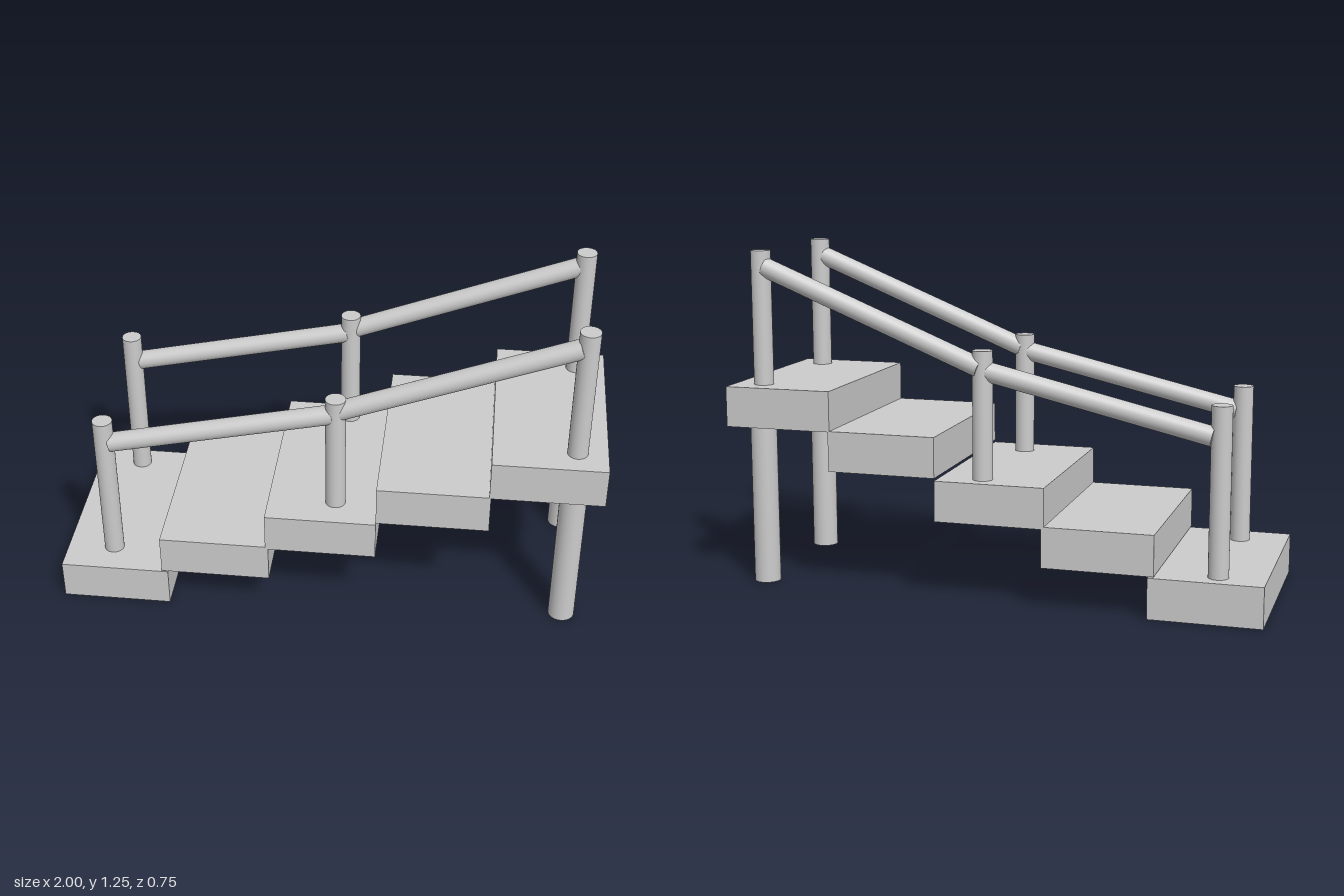
import * as THREE from 'three';

const material = new THREE.MeshStandardMaterial({ color: 0xcccccc });

// Round bar with flat ends between two points
function bar(name, from, to, radius) {
  const a = new THREE.Vector3(...from), b = new THREE.Vector3(...to);
  const dir = b.clone().sub(a);
  const mesh = new THREE.Mesh(new THREE.CylinderGeometry(radius, radius, dir.length(), 32), material);
  mesh.name = name;
  mesh.position.copy(a).add(b).multiplyScalar(0.5);
  mesh.quaternion.setFromUnitVectors(new THREE.Vector3(0, 1, 0), dir.normalize());
  return mesh;
}

export function createModel() {
  const model = new THREE.Group();
  model.name = 'staircase';

  // Overlapping solid treads: centre x, bottom y
  const steps = [[-0.797, 0], [-0.412, 0.155], [-0.015, 0.296], [0.393, 0.455], [0.795, 0.602]];
  steps.forEach(([x, y], i) => {
    const step = new THREE.Mesh(new THREE.BoxGeometry(0.408, 0.15, 0.75), material);
    step.name = `step${i + 1}`;
    step.position.set(x, y + 0.075, 0);
    model.add(step);
  });

  // Each side: posts as [x, bottom, top, z], low to high
  const sides = [
    { name: 'front', legZ: 0.27, railZ: [0.25, 0.255, 0.25, 0.273],
      posts: [[-0.825, 0.15, 0.742, 0.247], [0.03, 0.44, 0.905, 0.253], [0.89, 0.75, 1.255, 0.272]] },
    { name: 'back', legZ: -0.286, railZ: [-0.303, -0.292, -0.303, -0.282],
      posts: [[-0.83, 0.15, 0.76, -0.295], [0.03, 0.44, 0.915, -0.295], [0.89, 0.75, 1.25, -0.277]] },
  ];
  for (const { name, legZ, railZ, posts } of sides) {
    const railing = new THREE.Group();
    railing.name = `${name}Railing`;
    for (const [x, y0, y1, z] of posts) railing.add(bar('post', [x, y0, z], [x, y1, z], 0.037));
    // Two sloping handrail lengths
    railing.add(bar('lowerRail', [-0.802, 0.65, railZ[0]], [0.02, 0.84, railZ[1]], 0.036));
    railing.add(bar('upperRail', [0.04, 0.853, railZ[2]], [0.872, 1.188, railZ[3]], 0.036));
    model.add(railing);
    // Thicker leg below the top step
    model.add(bar(`${name}Leg`, [0.892, 0, legZ], [0.892, 0.61, legZ], 0.049));
  }
  return model;
}
